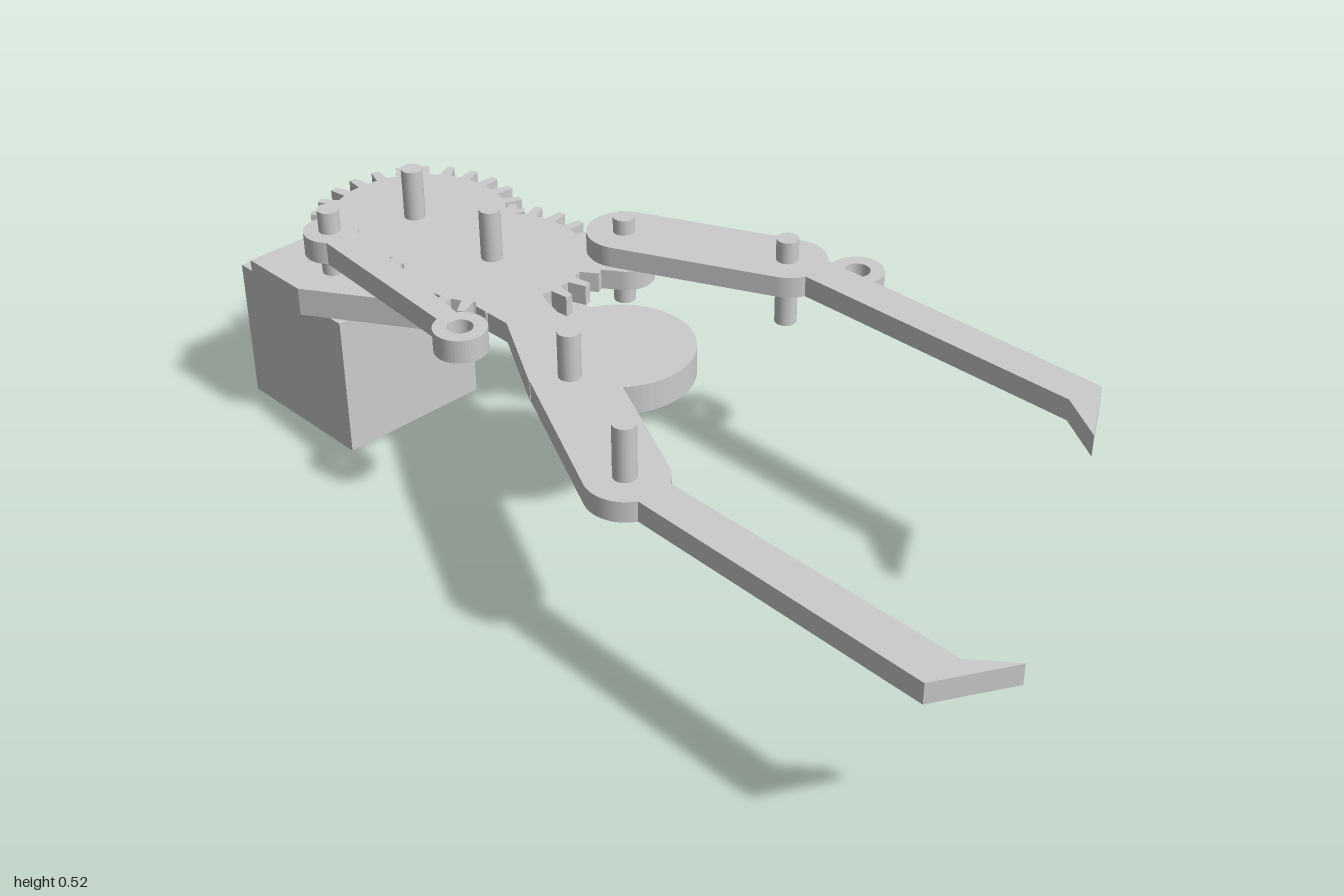
import * as THREE from 'three';

export function createModel() {
  const model = new THREE.Group();
  model.name = 'gripper';
  const grey = new THREE.MeshStandardMaterial({ color: 0xcccccc });
  grey.name = 'lightGrey';

  const add = (name, geometry) => {
    const mesh = new THREE.Mesh(geometry, grey);
    mesh.name = name;
    model.add(mesh);
  };

  // Flat plate from an (x, z) outline, between heights y0 and y1
  const plate = (name, shape, y0, y1) => {
    const g = new THREE.ExtrudeGeometry(shape, { depth: y1 - y0, bevelEnabled: false, curveSegments: 24 });
    add(name, g.rotateX(Math.PI / 2).translate(0, y1, 0));
  };
  const outline = (pts) => new THREE.Shape(pts.map(([x, z]) => new THREE.Vector2(x, z)));
  const disc = (x, z, r) => new THREE.Shape().absarc(x, z, r, 0, Math.PI * 2, false);
  const ring = (x, z, r, inner) => {
    const shape = disc(x, z, r);
    shape.holes.push(new THREE.Path().absarc(x, z, inner, 0, Math.PI * 2, true));
    return shape;
  };

  // Rounded bar joining two circles along their outer tangents
  const bar = (x1, z1, r1, x2, z2, r2) => {
    const dir = Math.atan2(z2 - z1, x2 - x1);
    const t = Math.acos((r1 - r2) / Math.hypot(x2 - x1, z2 - z1));
    return new THREE.Shape()
      .absarc(x1, z1, r1, dir + t, dir - t + Math.PI * 2, false)
      .absarc(x2, z2, r2, dir - t, dir + t, false);
  };

  const pin = (name, x, z, y0, y1) => {
    const g = new THREE.CylinderGeometry(0.022, 0.022, y1 - y0, 24);
    add(name, g.translate(x, (y0 + y1) / 2, z));
  };

  // Motor block
  add('motorBlock', new THREE.BoxGeometry(0.333, 0.305, 0.333).translate(-0.833, 0.1525, 0.125));

  // Base plate with a curved notch in front and a round nose
  const base = outline([[-0.91, -0.04], [-0.91, 0.325], [-0.75, 0.325], [-0.5, 0.165]]);
  base.absellipse(-0.35, 0.165, 0.15, 0.09, Math.PI, Math.PI * 2, false);
  base.absarc(-0.15, 0.018, 0.15, 1.911, -2.744, true);
  plate('basePlate', base, 0.305, 0.365);

  // Meshing gears
  const gear = (cx, cz, turn) => {
    const teeth = 25, step = (Math.PI * 2) / teeth, pts = [];
    for (let i = 0; i < teeth; i++) {
      const a = i * step + turn;
      for (const [f, r] of [[-0.26, 0.182], [-0.14, 0.22], [0.14, 0.22], [0.26, 0.182]]) {
        pts.push([cx + r * Math.cos(a + f * step), cz + r * Math.sin(a + f * step)]);
      }
    }
    return outline(pts);
  };
  plate('driveGear', gear(-0.757, 0.012, Math.PI), 0.368, 0.41);
  plate('drivenGear', gear(-0.513, 0.012, 0), 0.368, 0.41);

  // Lug on the driven gear that carries the rear finger
  plate('gearLug', bar(-0.48, -0.08, 0.07, -0.325, -0.17, 0.057), 0.368, 0.41);

  // Front finger, fixed to the driven gear
  plate('frontFingerRoot', outline([
    [-0.45, 0.0], [-0.33, 0.05], [-0.05, 0.128], [-0.115, 0.27], [-0.3, 0.165], [-0.39, 0.165], [-0.45, 0.11],
  ]), 0.368, 0.41);
  plate('frontFingerArm', bar(-0.08, 0.2, 0.077, 0.222, 0.347, 0.077), 0.368, 0.41);
  plate('frontFingerTip', outline([
    [0.22, 0.309], [0.925, 0.317], [1.0, 0.257], [0.922, 0.4], [0.22, 0.383],
  ]), 0.368, 0.41);

  // Rear finger, one level higher
  plate('rearFingerArm', bar(-0.325, -0.168, 0.077, -0.022, -0.314, 0.077), 0.43, 0.473);
  plate('rearFingerTip', outline([
    [-0.02, -0.36], [0.675, -0.37], [0.757, -0.235], [0.66, -0.295], [-0.02, -0.284],
  ]), 0.43, 0.473);
  plate('rearFingerEye', ring(0.102, -0.373, 0.053, 0.026), 0.43, 0.473);

  // Connecting link with an open eye
  plate('linkHead', disc(-0.757, 0.228, 0.055), 0.41, 0.458);
  plate('linkRod', outline([
    [-0.75, 0.19], [-0.325, 0.257], [-0.33, 0.298], [-0.75, 0.265],
  ]), 0.41, 0.458);
  plate('linkEye', ring(-0.29, 0.284, 0.052, 0.025), 0.41, 0.458);

  // Pins
  pin('driveGearPin', -0.758, 0.018, 0.335, 0.518);
  pin('drivenGearPin', -0.515, 0.018, 0.335, 0.518);
  pin('linkPin', -0.758, 0.23, 0.32, 0.505);
  pin('frontArmPin', -0.08, 0.203, 0.32, 0.505);
  pin('frontElbowPin', 0.22, 0.349, 0.335, 0.518);
  pin('rearArmPin', -0.325, -0.165, 0.32, 0.505);
  pin('rearElbowPin', -0.022, -0.311, 0.335, 0.518);

  return model;
}
